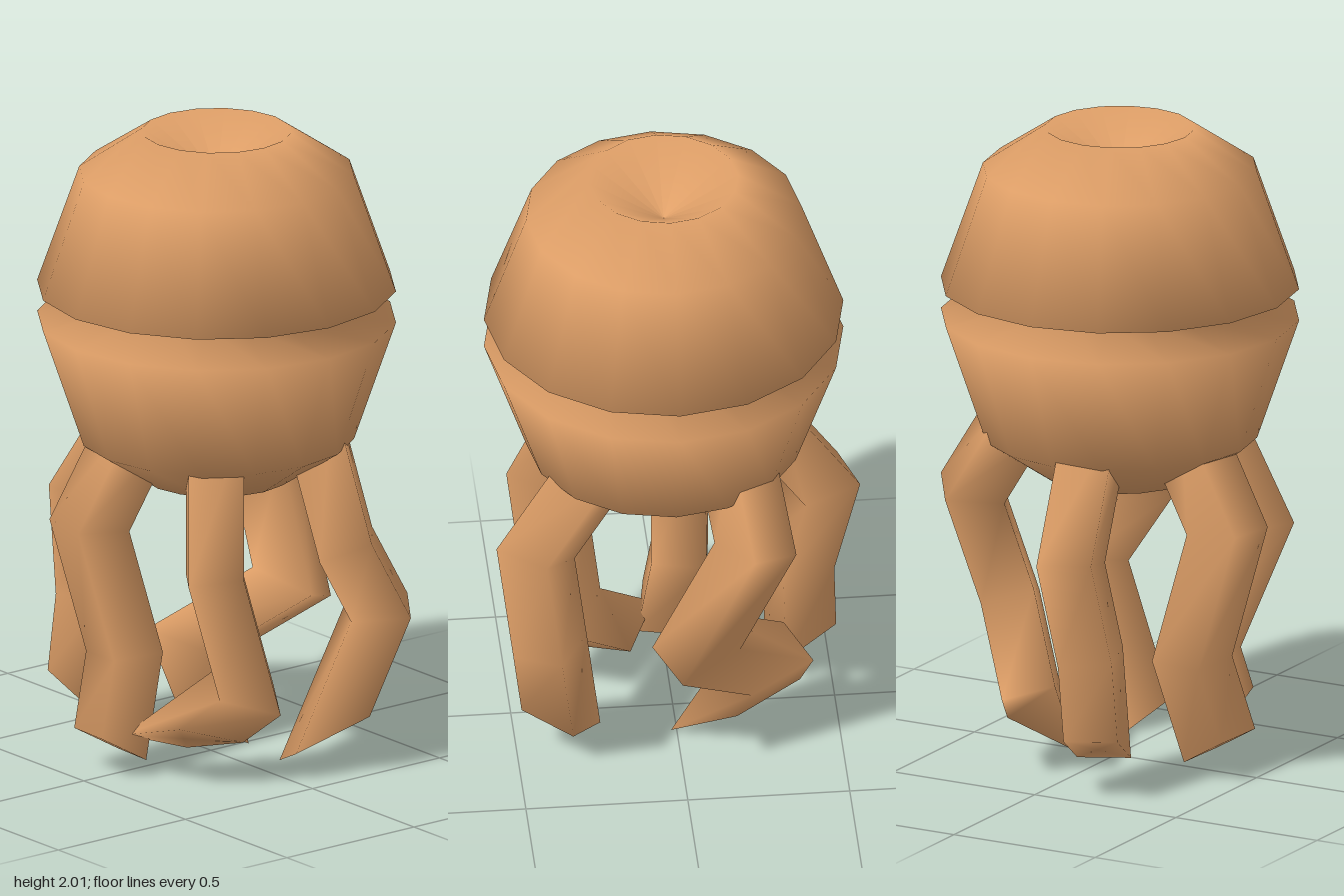
import * as THREE from 'three';

const skin = new THREE.MeshStandardMaterial({ color: 0xe0a068 });

// Bent square prism along a path: one cross-section carried through mitred joints,
// its tip cut on a slant that rises towards the outside
function bentLimb(points, radius, sides = 4) {
  const path = points.map((p) => new THREE.Vector3(...p));
  const dirs = path.slice(1).map((p, i) => p.clone().sub(path[i]).normalize());
  const tip = path[path.length - 1];
  const tipNormal = tip.clone().setY(0).setLength(0.5).setY(-0.85).normalize();
  // one flat side looks outwards
  const outward = path[0].clone().setY(0);
  const b = dirs[0].clone().cross(outward).normalize();
  const a = b.clone().cross(dirs[0]);
  let ring = [];
  for (let j = 0; j < sides; j++) {
    const t = ((j + 0.5) / sides) * Math.PI * 2;
    ring.push(path[0].clone().addScaledVector(a, Math.cos(t) * radius).addScaledVector(b, Math.sin(t) * radius));
  }
  const verts = [...ring];
  const index = [];
  for (let i = 1; i < path.length; i++) {
    const d = dirs[i - 1];
    const n = dirs[i] ? d.clone().add(dirs[i]).normalize() : tipNormal;
    // slide every corner along the segment onto the joint plane
    ring = ring.map((v) => v.clone().addScaledVector(d, path[i].clone().sub(v).dot(n) / d.dot(n)));
    verts.push(...ring);
    for (let j = 0; j < sides; j++) {
      const k = (j + 1) % sides;
      const lo = (i - 1) * sides, hi = i * sides;
      index.push(lo + j, lo + k, hi + k, lo + j, hi + k, hi + j);
    }
  }
  // tip, smoothed into the sides
  const last = verts.length - sides;
  verts.push(tip);
  for (let j = 0; j < sides; j++) index.push(last + sides, last + j, last + ((j + 1) % sides));
  const geo = new THREE.BufferGeometry().setFromPoints(verts);
  geo.setIndex(index);
  geo.computeVertexNormals();
  return geo;
}

export function createModel() {
  const model = new THREE.Group();
  const add = (name, geo) => {
    const mesh = new THREE.Mesh(geo, skin);
    mesh.name = name;
    model.add(mesh);
    return mesh;
  };

  // Two-lobed bell with a deep groove and a dimpled crown
  const profile = [
    [0, 0.86], [0.23, 0.89], [0.425, 1.02], [0.555, 1.4], [0.28, 1.45],
    [0.555, 1.5], [0.425, 1.87], [0.23, 2], [0, 1.85],
  ].map(([r, y]) => new THREE.Vector2(r, y));
  add('bell', new THREE.LatheGeometry(profile, 16)).position.z = 0.028;

  // Five crooked tentacles, rooted inside the bell
  const tentacles = {
    rightTentacle: [[-0.24, 1.12, -0.03], [-0.43, 0.79, -0.06], [-0.3, 0.36, -0.05], [-0.38, 0.085, -0.02]],
    frontRightTentacle: [[-0.16, 1.12, 0.22], [-0.28, 0.7, 0.37], [-0.115, 0.28, 0.32], [-0.26, 0.13, 0.19]],
    frontLeftTentacle: [[0.21, 1.12, 0.22], [0.18, 0.73, 0.44], [0.335, 0.49, 0.41], [0.16, 0.09, 0.36]],
    leftTentacle: [[0.23, 1.12, -0.17], [0.38, 0.85, -0.22], [0.35, 0.46, -0.04], [0.14, 0.25, -0.28], [0.15, 0.09, -0.18]],
    backTentacle: [[-0.06, 1.12, -0.22], [-0.11, 0.74, -0.47], [-0.14, 0.43, -0.4], [-0.17, 0.14, -0.41]],
  };
  for (const [name, path] of Object.entries(tentacles)) add(name, bentLimb(path, 0.12));

  return model;
}
